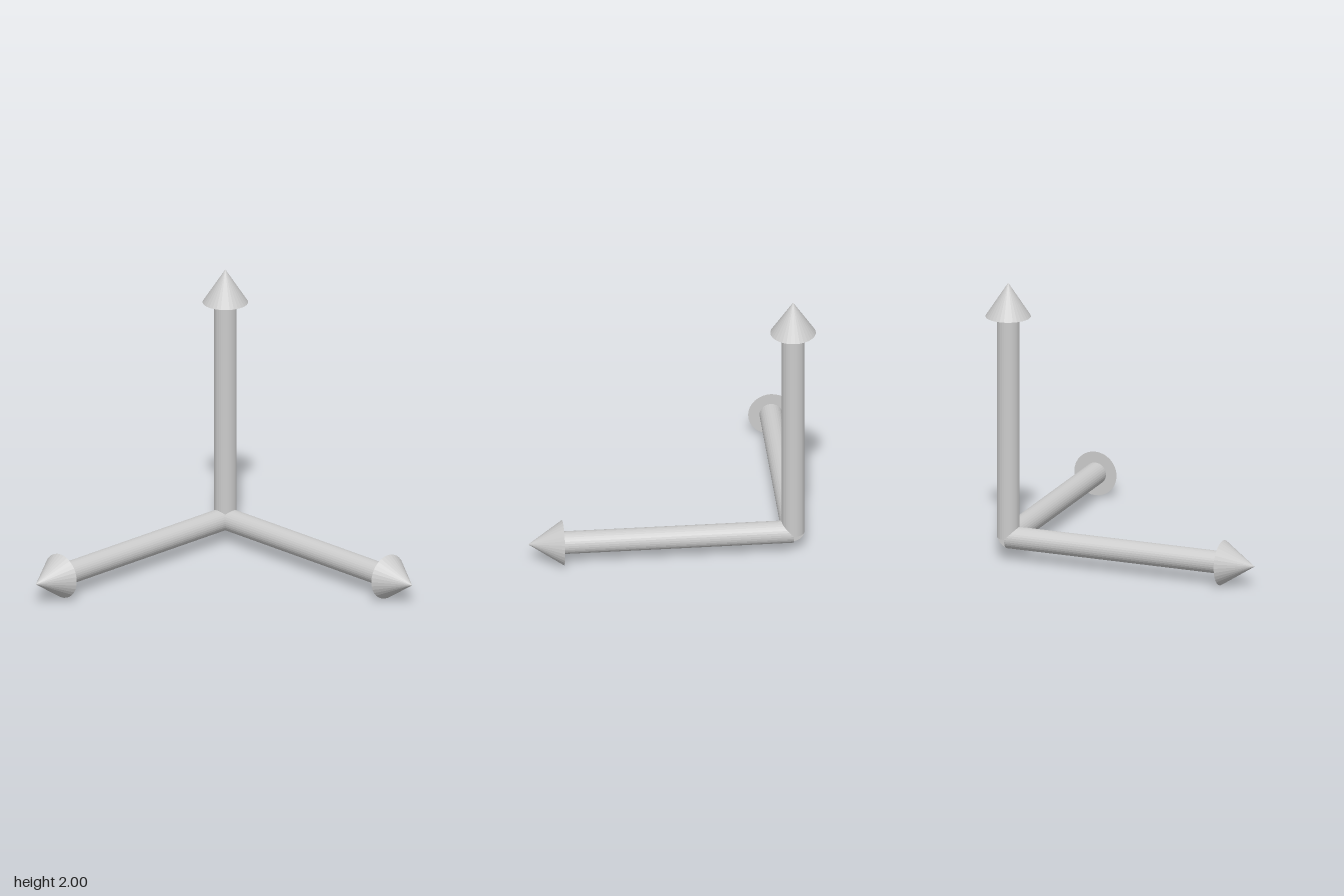
import * as THREE from 'three';

const CORNER = new THREE.Vector3(-0.842, 0.158, -0.842);
const SHAFT_LENGTH = 1.6;
const SHAFT_RADIUS = 0.079;
const HEAD_LENGTH = 0.242;
const HEAD_RADIUS = 0.158;
const SIDES = 32;

export function createModel() {
  const model = new THREE.Group();
  model.name = 'axisArrows';
  const material = new THREE.MeshStandardMaterial({ color: 0xcccccc, flatShading: true });

  // Shaft and head both built along +y, starting at the shared corner
  const shaftGeometry = new THREE.CylinderGeometry(SHAFT_RADIUS, SHAFT_RADIUS, SHAFT_LENGTH, SIDES);
  shaftGeometry.translate(0, SHAFT_LENGTH / 2, 0);
  const headGeometry = new THREE.ConeGeometry(HEAD_RADIUS, HEAD_LENGTH, SIDES);
  headGeometry.translate(0, SHAFT_LENGTH + HEAD_LENGTH / 2, 0);

  function addArrow(name, rotX, rotZ) {
    const arrow = new THREE.Group();
    arrow.name = name;
    const shaft = new THREE.Mesh(shaftGeometry, material);
    shaft.name = name + 'Shaft';
    const head = new THREE.Mesh(headGeometry, material);
    head.name = name + 'Head';
    arrow.add(shaft, head);
    arrow.position.copy(CORNER);
    arrow.rotation.set(rotX, 0, rotZ);
    model.add(arrow);
  }

  // One arrow along each axis
  addArrow('upArrow', 0, 0);
  addArrow('sideArrow', 0, -Math.PI / 2);
  addArrow('frontArrow', Math.PI / 2, 0);

  return model;
}
